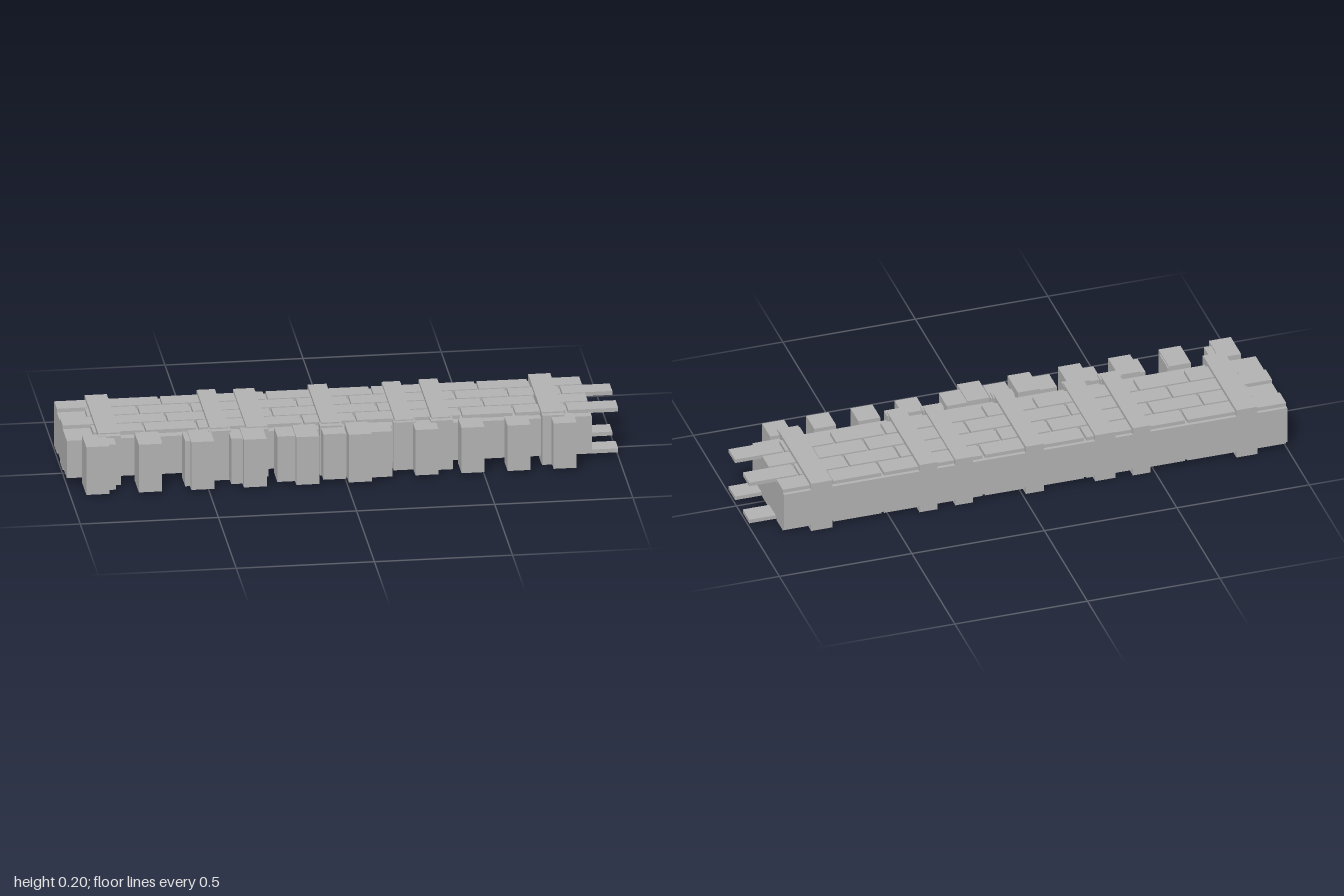
import * as THREE from 'three';

export function createModel() {
  const model = new THREE.Group();
  model.name = 'brickWall';
  const stone = new THREE.MeshStandardMaterial({ color: 0xb2b2b2 });
  stone.name = 'grey stone';

  // Box given by its limits on each axis
  const block = (name, x0, x1, y0, y1, z0, z1) => {
    const mesh = new THREE.Mesh(new THREE.BoxGeometry(x1 - x0, y1 - y0, z1 - z0), stone);
    mesh.position.set((x0 + x1) / 2, (y0 + y1) / 2, (z0 + z1) / 2);
    mesh.name = name;
    model.add(mesh);
  };

  const BACK = -0.244, FRONT = 0.123, CORE_LOW = 0.029, CORE_HIGH = 0.173;

  block('core', -1, 0.9, CORE_LOW, CORE_HIGH, BACK, FRONT);

  // Staggered brick courses on both broad faces
  for (let row = 0; row < 4; row++) {
    const z = -0.231 + row * 0.0823;
    const start = row % 2 ? -0.9 : -1;
    for (let i = 0; i < 10; i++) {
      const x = start + i * 0.191;
      block('topBrick', x, x + 0.181, CORE_HIGH - 0.001, 0.187, z, z + 0.074);
      block('bottomBrick', x, x + 0.181, 0.015, CORE_LOW + 0.001, z, z + 0.074);
    }
  }

  // Cross beams with a wider strap on the front: [centre x, beam width, inset]
  const beams = [
    [-0.848, 0.08, 0], [-0.45, 0.066, 0], [-0.047, 0.068, 0], [0.354, 0.068, 0],
    [0.757, 0.08, 0], [-0.313, 0.076, 0.003], [0.22, 0.066, 0.003],
  ];
  for (const [x, w, inset] of beams) {
    block('topBeam', x - w / 2, x + w / 2, CORE_HIGH - 0.001, 0.2 - inset, BACK, 0.132);
    block('bottomBeam', x - w / 2, x + w / 2, inset, CORE_LOW + 0.001, BACK, 0.132);
    const front = inset ? 0.145 : 0.153;
    block('frontStrap', x - 0.04, x + 0.04, 0.005 + inset, 0.195 - inset, FRONT - 0.01, front);
  }

  // Short merlons along the whole front edge
  for (let i = 0; i < 11; i++) {
    const x = -0.917 + i * 0.1667;
    block('shortMerlon', x, x + 0.083, 0.013, 0.188, FRONT, 0.216);
  }

  // Longer merlons over one half
  for (let i = 0; i < 6; i++) {
    const x = -0.945 + i * 0.19;
    block('longMerlon', x, x + 0.083, 0.009, 0.193, FRONT, 0.244);
  }

  return model;
}
